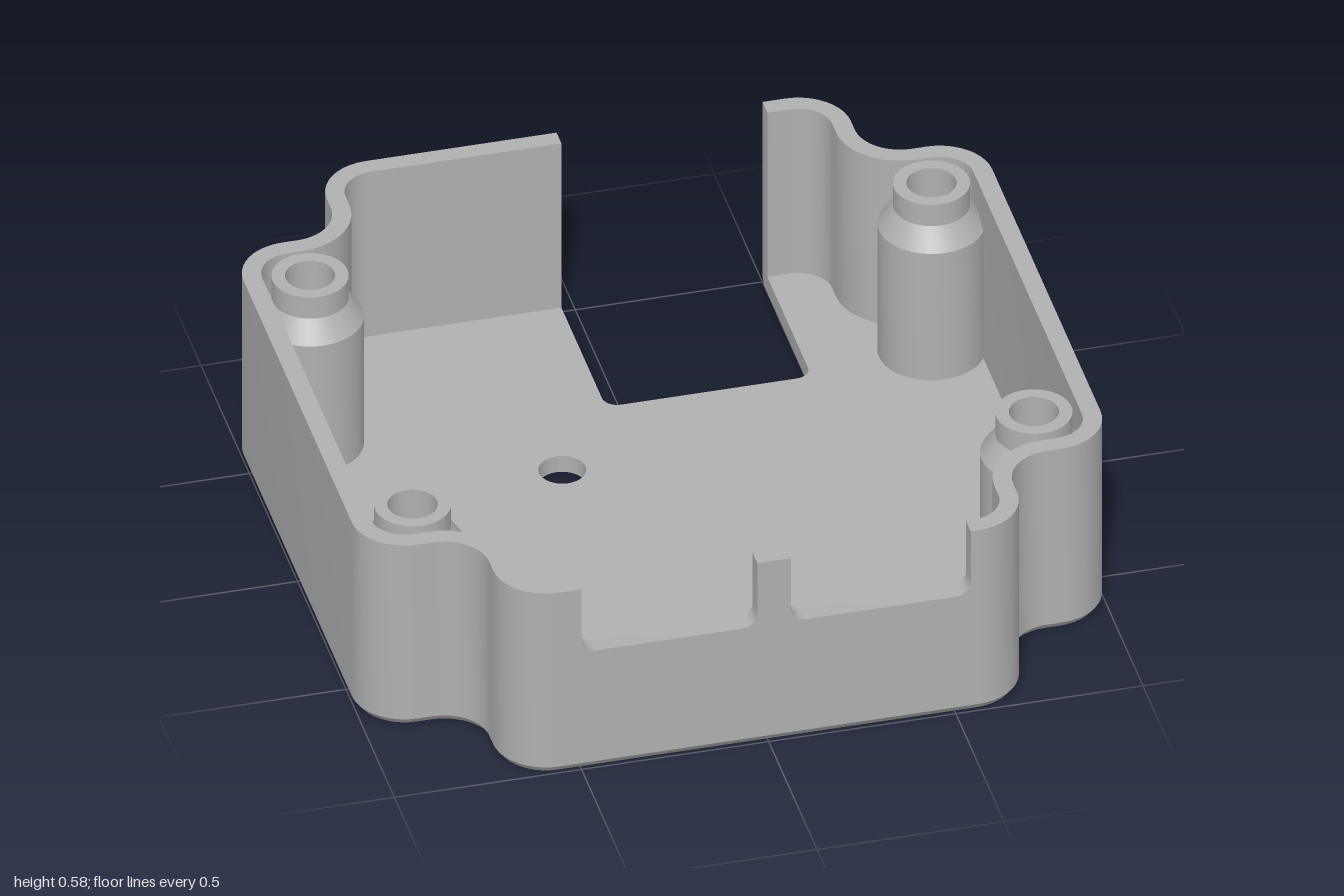
import * as THREE from 'three';
import { toCreasedNormals } from 'three/addons/utils/BufferGeometryUtils.js';

const WALL = 0.05, TOP = 0.57, CHAMFER = 0.02, FLOOR = 0.05;
const POST_X = 0.83, POST_Z = 0.53, BORE = 0.11;
const V = (x, y) => new THREE.Vector2(x, y);

// Points along an arc, angles in quarter turns
function arc(cx, cy, r, from, to, n = 10) {
  return Array.from({ length: n + 1 }, (_, i) => {
    const a = (from + (to - from) * i / n) * Math.PI / 2;
    return V(cx + r * Math.cos(a), cy + r * Math.sin(a));
  });
}

// One side of the plan (plan y = -z) from front to back, inset by d
function sidePath(d, frontX, backX, sign) {
  const corner = [
    ...arc(0.56, -0.86, 0.14 - d, -1, 0),
    ...arc(0.82, -0.82, 0.12 + d, 2, 1),
    ...arc(0.86, -0.56, 0.14 - d, -1, 0),
  ];
  const back = corner.map(p => V(p.x, -p.y)).reverse();
  const pts = [...corner, ...back].map(p => V(sign * p.x, p.y));
  return [V(frontX, d - 1), ...pts, V(backX, 1 - d)];
}

// Whole floor plan with the connector cutout at the back
function floorPlan(d) {
  return [
    ...sidePath(d, 0.55, 0.5, 1),
    ...arc(0.46, 0.53, 0.04, 0, -1, 6),
    ...arc(-0.01, 0.53, 0.04, -1, -2, 6),
    ...sidePath(d, -0.55, -0.05, -1).reverse(),
  ];
}

function extrudeUp(shape, y0, y1) {
  const g = new THREE.ExtrudeGeometry(shape, { depth: y1 - y0, bevelEnabled: false, curveSegments: 20 });
  return g.rotateX(-Math.PI / 2).translate(0, y0, 0);
}

export function createModel() {
  const group = new THREE.Group();
  const grey = new THREE.MeshStandardMaterial({ color: 0xb0b0b0 });
  grey.name = 'grey plastic';
  const add = (name, geometry) => {
    const mesh = new THREE.Mesh(toCreasedNormals(geometry, 0.5), grey);
    mesh.name = name;
    group.add(mesh);
    return mesh;
  };

  // Floor holes: x, z, radius
  const holes = [[-0.23, -0.245, 0.062], [-0.12, 0.59, 0.062], [-0.8, 0.16, 0.045], [-0.66, 0.62, 0.045]];
  for (const sx of [-1, 1]) for (const sz of [-1, 1]) holes.push([sx * POST_X, sz * POST_Z, BORE]);
  const floorShape = (d) => {
    const shape = new THREE.Shape(floorPlan(d));
    for (const [x, z, r] of holes) shape.holes.push(new THREE.Path().absarc(x, -z, r, 0, Math.PI * 2, true));
    return shape;
  };

  // Base plate, its outer rim drawn in at the underside as a chamfer
  const base = extrudeUp(floorShape(0), 0, CHAMFER);
  const rim = floorPlan(0), inset = floorPlan(0.015);
  const pos = base.attributes.position;
  for (let i = 0; i < pos.count; i++) {
    if (pos.getY(i) > 0.001) continue;
    const k = rim.findIndex(p => Math.hypot(p.x - pos.getX(i), p.y + pos.getZ(i)) < 1e-4);
    if (k >= 0) pos.setXYZ(i, inset[k].x, 0, -inset[k].y);
  }
  add('basePlate', base);
  add('innerFloor', extrudeUp(floorShape(WALL), CHAMFER, FLOOR));

  // Side walls, ending at the front panel and the back cutout
  for (const [name, sign, backX] of [['leftWall', 1, 0.5], ['rightWall', -1, -0.05]]) {
    const outer = sidePath(0, sign * 0.55, backX, sign);
    const inner = sidePath(WALL, sign * 0.55, backX, sign).reverse();
    add(name, extrudeUp(new THREE.Shape([...outer, ...inner]), CHAMFER, TOP));
  }

  // Front panel with two rounded slots open at the top
  const slot = (x0, x1) => [
    V(x1, TOP), ...arc(x1 - 0.04, 0.41, 0.04, 0, -1, 6),
    ...arc(x0 + 0.04, 0.41, 0.04, -1, -2, 6), V(x0, TOP),
  ];
  const panel = new THREE.Shape([
    V(-0.55, CHAMFER), V(0.55, CHAMFER), V(0.55, TOP),
    ...slot(0.06, 0.54), ...slot(-0.5, -0.03), V(-0.55, TOP),
  ]);
  add('frontPanel', new THREE.ExtrudeGeometry(panel, { depth: WALL, bevelEnabled: false }).translate(0, 0, 1 - WALL));

  // Screw posts: stepped outside, counterbored from below
  const profile = [
    [0.14, 0.04], [0.14, 0.45], [0.1, 0.51], [0.1, 0.577],
    [0.065, 0.577], [0.065, 0.45], [BORE, 0.45], [BORE, FLOOR],
  ].map(([r, y]) => V(r, y));
  for (const sx of [-1, 1]) for (const sz of [-1, 1]) {
    const post = add('screwPost', new THREE.LatheGeometry(profile, 40));
    post.position.set(sx * POST_X, 0, sz * POST_Z);
  }
  return group;
}
